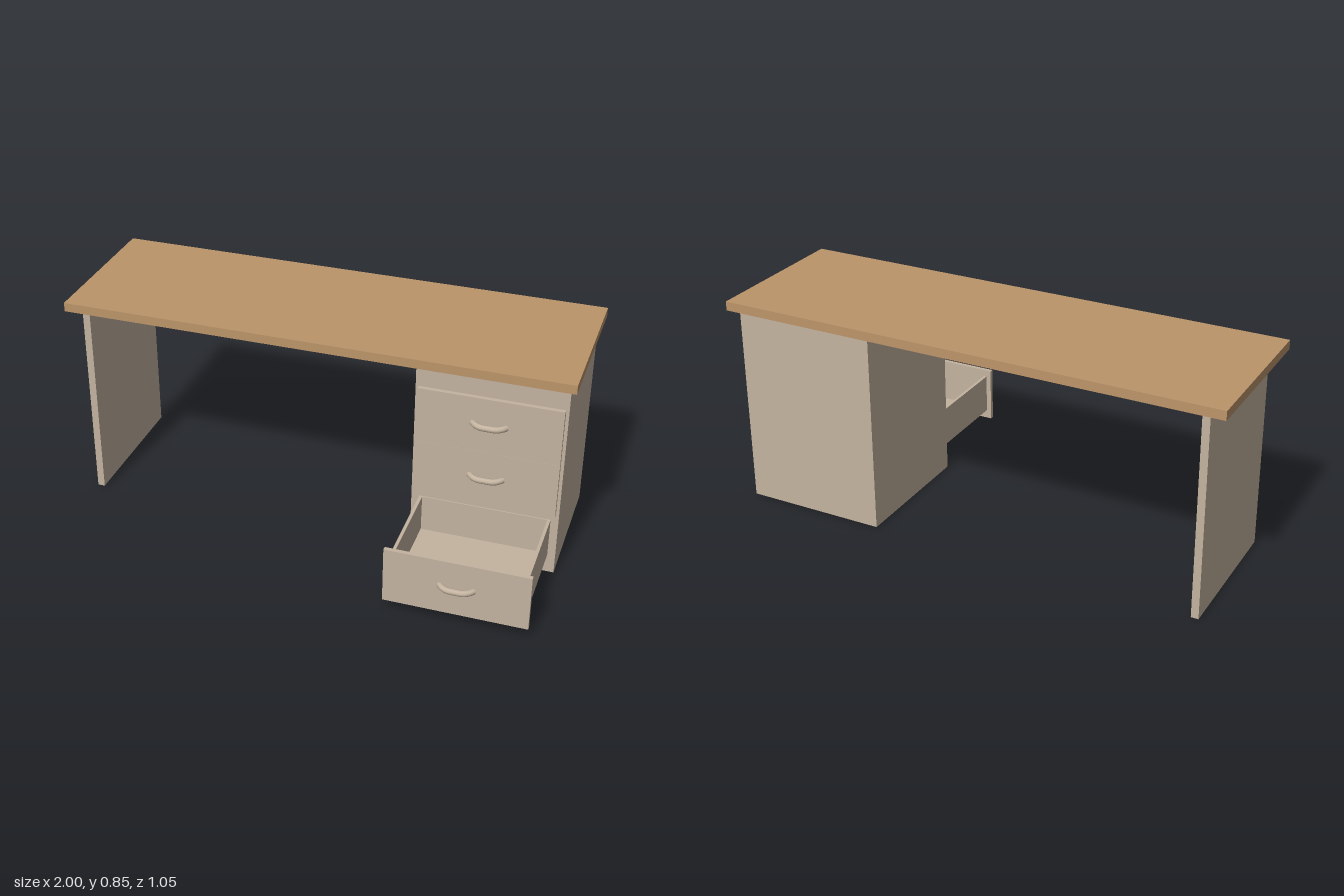
import * as THREE from 'three';

export function createModel() {
  const desk = new THREE.Group();
  desk.name = 'desk';
  const wood = new THREE.MeshStandardMaterial({ color: 0xbc956a });
  wood.name = 'warm wood';
  const beige = new THREE.MeshStandardMaterial({ color: 0xc4b4a0 });
  beige.name = 'beige laminate';

  // Box given by its min and max corners
  function box(name, material, [x0, y0, z0], [x1, y1, z1], parent = desk) {
    const mesh = new THREE.Mesh(new THREE.BoxGeometry(x1 - x0, y1 - y0, z1 - z0), material);
    mesh.position.set((x0 + x1) / 2, (y0 + y1) / 2, (z0 + z1) / 2);
    mesh.name = name;
    parent.add(mesh);
    return mesh;
  }

  // Top, side panel and cabinet
  box('deskTop', wood, [-1, 0.812, -0.523], [1, 0.848, 0.112]);
  box('sidePanel', beige, [-0.935, 0.004, -0.492], [-0.906, 0.812, 0.088]);
  box('cabinet', beige, [0.404, 0, -0.476], [0.975, 0.812, 0.073]);

  // Bowed handle: a rounded bar along a curve, slightly flattened
  const bow = new THREE.CatmullRomCurve3([
    [-0.064, 0, -0.004], [-0.052, 0, 0.01], [-0.032, -0.001, 0.021], [0, -0.001, 0.023],
    [0.032, -0.001, 0.021], [0.052, 0, 0.01], [0.064, 0, -0.004],
  ].map((p) => new THREE.Vector3(...p)));
  const handleGeometry = new THREE.TubeGeometry(bow, 24, 0.012, 10, false);
  function handle(y, z) {
    const mesh = new THREE.Mesh(handleGeometry, beige);
    mesh.name = 'handle';
    mesh.position.set(0.692, y, z);
    desk.add(mesh);
  }

  // Drawer fronts: two closed, the lowest pulled out
  const drawers = [
    { y: 0.04, z: 0.475 },
    { y: 0.267, z: 0.075 },
    { y: 0.494, z: 0.075 },
  ];
  for (const { y, z } of drawers) {
    box('drawerFront', beige, [0.416, y, z], [0.963, y + 0.2265, z + 0.017]);
    handle(y + 0.119, z + 0.017);
  }

  // Open drawer tray
  const tray = new THREE.Group();
  tray.name = 'openDrawer';
  desk.add(tray);
  box('drawerFloor', beige, [0.436, 0.076, 0.06], [0.945, 0.088, 0.475], tray);
  box('drawerBack', beige, [0.436, 0.088, 0.06], [0.945, 0.238, 0.078], tray);
  for (const x of [0.436, 0.933]) {
    box('drawerSide', beige, [x, 0.088, 0.06], [x + 0.012, 0.238, 0.475], tray);
  }
  return desk;
}
